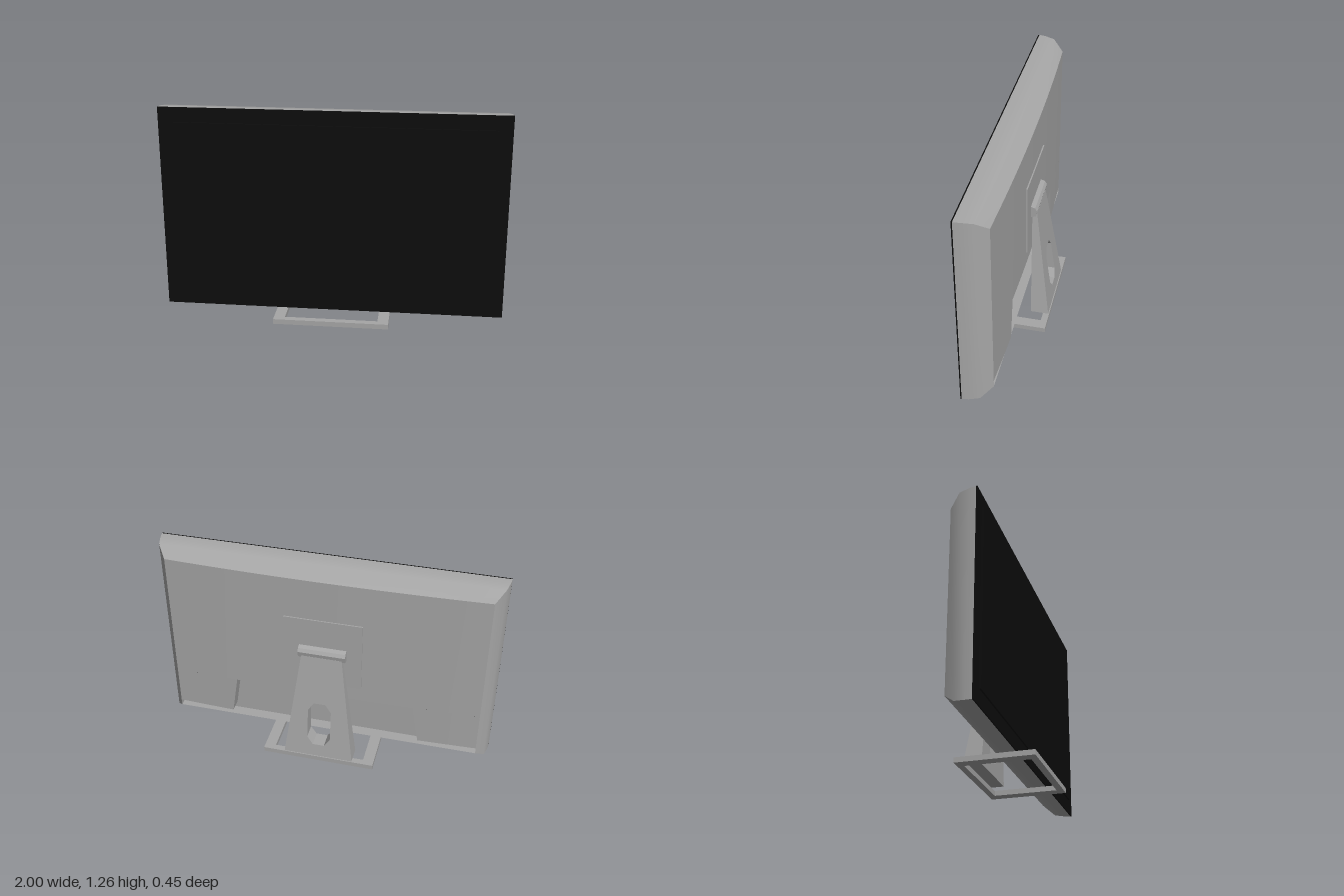
import * as THREE from 'three';

const lerp = THREE.MathUtils.lerp;

export function createModel() {
  const model = new THREE.Group();
  const grey = new THREE.MeshStandardMaterial({ color: 0xa6a6a6, side: THREE.DoubleSide });
  grey.name = 'silverGrey';
  const black = new THREE.MeshStandardMaterial({ color: 0x0d0d0d });
  black.name = 'screenBlack';

  const add = (name, geometry, material, parent = model) => {
    const mesh = new THREE.Mesh(geometry, material);
    mesh.name = name;
    parent.add(mesh);
    return mesh;
  };
  const box = (name, x0, x1, y0, y1, z0, z1, material, parent) =>
    add(name, new THREE.BoxGeometry(x1 - x0, y1 - y0, z1 - z0)
      .translate((x0 + x1) / 2, (y0 + y1) / 2, (z0 + z1) / 2), material, parent);

  // A smooth sheet whose points follow fn(u, v) -> [x, y, z]
  const casing = new THREE.Group();
  casing.name = 'casing';
  model.add(casing);
  const sheet = (name, nu, nv, fn) => {
    const g = new THREE.PlaneGeometry(1, 1, nu, nv);
    const p = g.attributes.position;
    for (let i = 0; i < p.count; i++) p.setXYZ(i, ...fn(p.getX(i) + 0.5, p.getY(i) + 0.5));
    g.computeVertexNormals();
    add(name, g, grey, casing);
  };

  // Casing rim: [z, side inset, top and bottom inset] from front to back
  const rim = [[0.1, 0, 0], [0.06, 0.005, 0.002], [0, 0.02, 0.01], [-0.065, 0.07, 0.065]];
  const bottom = 0.055, top = 1.265, edge = 0.93;
  const back = x => -0.065 - 0.023 * (1 - (x / edge) ** 2);
  const level = v => rim[Math.round(v * 3)];
  sheet('topRim', 16, 3, (u, v) => {
    const [z, sx, sy] = level(v), x = (2 * u - 1) * (1 - sx);
    return [x, top - sy, v > 0.99 ? back(x) : z];
  });
  sheet('bottomRim', 1, 3, (u, v) => {
    const [z, sx, sy] = level(v);
    return [(1 - 2 * u) * (1 - sx), bottom + sy, z];
  });
  for (const s of [1, -1]) {
    sheet('sideRim', 1, 3, (u, v) => {
      const [z, sx, sy] = level(v);
      return [s * (1 - sx), lerp(bottom + sy, top - sy, s > 0 ? 1 - u : u), z];
    });
  }

  // Curved back panel with a cable recess and a groove along the bottom
  const recessTop = 0.41, grooveTop = 0.16, grooveFloor = 0.12, deep = 0;
  const recessX = v => lerp(0.58, 0.54, v);
  sheet('backPanel', 16, 1, (u, v) => {
    const x = lerp(edge, -edge, u);
    return [x, lerp(recessTop, 1.2, v), back(x)];
  });
  sheet('recessCeiling', 12, 1, (u, v) => {
    const x = lerp(-0.54, 0.54, u);
    return [x, recessTop, lerp(deep, back(x), 1 - v)];
  });
  sheet('recessWall', 1, 1, (u, v) =>
    [lerp(1, -1, u) * recessX(v), lerp(grooveTop, recessTop, v), deep]);
  sheet('grooveWall', 1, 1, (u, v) => [lerp(edge, -edge, u), lerp(grooveFloor, grooveTop, v), deep]);
  sheet('grooveFloor', 1, 1, (u, v) => [lerp(edge, -edge, u), grooveFloor, lerp(-0.065, deep, v)]);
  for (const s of [1, -1]) {
    const along = u => (s > 0 ? u : 1 - u);
    sheet('lowerBackPanel', 6, 1, (u, v) => {
      const x = s * lerp(edge, recessX(v), along(u));
      return [x, lerp(grooveTop, recessTop, v), back(x)];
    });
    sheet('recessSide', 1, 1, (u, v) => {
      const x = s * recessX(v);
      return [x, lerp(grooveTop, recessTop, v), lerp(back(x), deep, along(u))];
    });
    sheet('grooveCeiling', 6, 1, (u, v) => {
      const x = s * lerp(0.58, edge, along(u));
      return [x, grooveTop, lerp(back(x), deep, v)];
    });
    sheet('grooveEnd', 1, 1, (u, v) =>
      [s * edge, lerp(grooveFloor, grooveTop, v), lerp(-0.065, deep, along(u))]);
  }

  // Front bezel and raised screen
  box('bezel', -1, 1, bottom, top, 0.099, 0.106, black);
  box('screen', -0.92, 0.92, 0.14, 1.18, 0.1, 0.116, black);

  // Mounting plate on the back
  box('mountPlate', -0.23, 0.23, 0.5, 0.945, -0.095, -0.06, grey);

  // Stand base: a flat open frame
  const polygon = (points, Type = THREE.Shape) =>
    new Type(points.map(([x, y]) => new THREE.Vector2(x, y)));
  const rect = (x, y0, y1) => [[-x, y0], [x, y0], [x, y1], [-x, y1]];
  const frame = polygon(rect(0.34, -0.225, 0.228));
  frame.holes.push(polygon(rect(0.275, -0.185, 0.19), THREE.Path));
  add('standBase', new THREE.ExtrudeGeometry(frame, { depth: 0.03, bevelEnabled: false })
    .rotateX(-Math.PI / 2), grey);

  // Stand leg: tapered slab with a cable hole, thinning towards the top
  const legShape = polygon([[-0.21, 0.03], [0.21, 0.03], [0.12, 0.71], [-0.12, 0.71]]);
  legShape.holes.push(polygon([[-0.035, 0.11], [0.035, 0.11], [0.07, 0.16], [0.07, 0.35],
    [0.035, 0.4], [-0.035, 0.4], [-0.07, 0.35], [-0.07, 0.16]], THREE.Path));
  const leg = new THREE.ExtrudeGeometry(legShape, { depth: 1, bevelEnabled: false });
  const p = leg.attributes.position;
  for (let i = 0; i < p.count; i++) {
    const t = (p.getY(i) - 0.03) / 0.68;
    p.setZ(i, lerp(lerp(-0.222, -0.128, t), lerp(-0.115, -0.1, t), p.getZ(i)));
  }
  leg.computeVertexNormals();
  add('standLeg', leg, grey);

  // Hinge head: faceted bar joining the leg to the plate, profile in z and y
  const head = polygon([[-0.09, 0.69], [-0.09, 0.766], [-0.12, 0.755], [-0.132, 0.735], [-0.125, 0.7]]);
  add('hingeHead', new THREE.ExtrudeGeometry(head, { depth: 0.28, bevelEnabled: false })
    .rotateY(-Math.PI / 2).translate(0.14, 0, 0), grey);

  return model;
}
